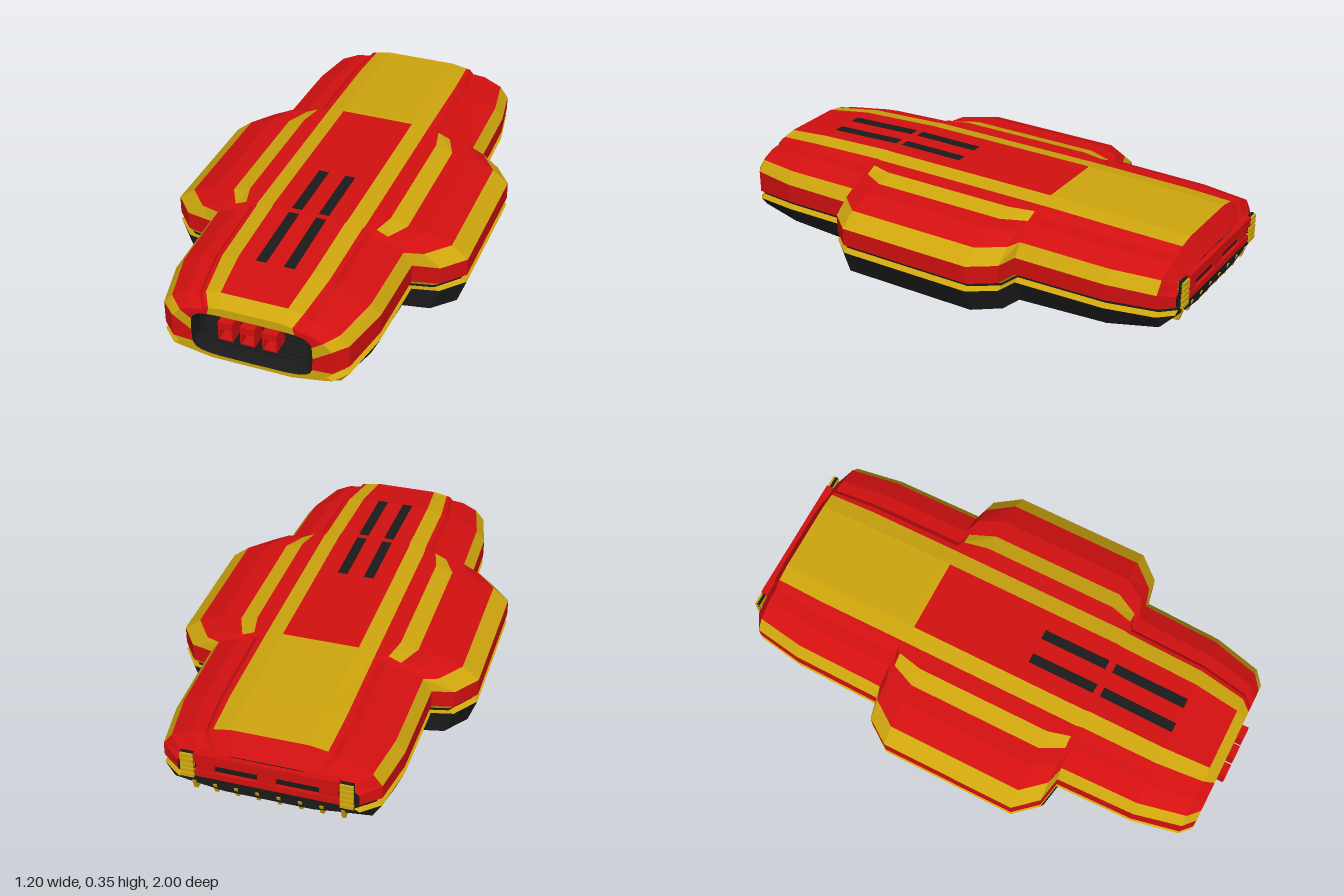
import * as THREE from 'three';

const RED = 0xd41010, YELLOW = 0xcfa60e, BLACK = 0x1b1b1b, WHITE = 0xffffff;
const COLORS = { R: RED, Y: YELLOW, K: BLACK };
const mats = new Map();
function mat(color) {
  if (!mats.has(color)) mats.set(color, new THREE.MeshStandardMaterial({ color, flatShading: true }));
  return mats.get(color);
}

// Half cross-section from the bottom centre, round the flank, to the top centre.
// w: half width, floor: underside, g: height of the side groove, top: roof height
function station(z, w, floor, g, top) {
  const rise = (f) => 0.165 + (top - 0.165) * f;
  const inner = Math.min(0.22, w * 0.52);
  const pts = [
    [0, floor], [w * 0.5, floor], [w - 0.035, floor + 0.02],
    [w, g], [w - 0.022, g + 0.012], [w - 0.022, g + 0.022], [w, g + 0.034],
    [w, rise(0.3)], [w - (w > 0.5 ? 0.065 : 0.035), rise(0.57)], [w * 0.73, rise(0.77)],
    [w * 0.6, rise(0.8)], [(w * 0.6 + inner) / 2, rise(0.91)], [inner, rise(0.93)],
    [inner * 0.69, top], [0, top],
  ];
  return { z, pts };
}

// Rounded grille opening with as many points as a station
function mouth(z) {
  const pts = [];
  for (let j = 0; j < 15; j++) {
    const a = Math.PI * (j / 14 - 0.5), s = Math.sin(a);
    pts.push([0.235 * Math.abs(Math.cos(a)) ** 0.4, 0.147 + 0.092 * Math.sign(s) * Math.abs(s) ** 0.4]);
  }
  return { z, pts };
}

// Each entry: station and band colours, bottom to top, of the stretch to the next one
const NOSE = 'KKKYKYRYRRRRYR', POD = 'KKKYKYRYRRYRYR', TAIL = 'KKKYKYRYRRRRYY';
const LIP = 'YYYYYYRYRRRRYY', REAR = 'KKKYKYRRRRRRRR', RECESS = 'KKKKKKKKKKKKKK';
const hull = [
  [mouth(0.9), RECESS],
  [mouth(0.972), LIP],
  [station(0.972, 0.31, 0.04, 0.068, 0.272), LIP],
  [station(0.93, 0.36, 0.022, 0.085, 0.312), NOSE],
  [station(0.74, 0.405, 0.014, 0.105, 0.336), NOSE],
  [station(0.42, 0.415, 0.004, 0.112, 0.35), NOSE],
  [station(0.4, 0.52, 0.003, 0.115, 0.35), POD],
  [station(0.31, 0.6, 0, 0.116, 0.35), POD],
  [station(-0.25, 0.6, 0, 0.116, 0.35), POD],
  [station(-0.35, 0.53, 0.003, 0.116, 0.35), TAIL],
  [station(-0.37, 0.445, 0.004, 0.116, 0.35), TAIL],
  [station(-0.74, 0.44, 0.02, 0.12, 0.344), TAIL],
  [station(-0.935, 0.41, 0.05, 0.128, 0.338), REAR],
  [station(-0.98, 0.34, 0.085, 0.115, 0.255), REAR],
];

// Loft all stations, mirrored, into one faceted mesh per colour
function buildHull() {
  const group = new THREE.Group();
  group.name = 'bodyShell';
  const faces = { R: [], Y: [], K: [] };
  for (let i = 0; i < hull.length - 1; i++) {
    const [s, bands] = hull[i], n = hull[i + 1][0];
    for (let j = 0; j < 14; j++) {
      const out = faces[bands[j]];
      const a = [...s.pts[j], s.z], b = [...s.pts[j + 1], s.z];
      const c = [...n.pts[j + 1], n.z], d = [...n.pts[j], n.z];
      for (const p of [a, d, c, a, c, b]) out.push(...p);
      for (const p of [a, c, d, a, b, c]) out.push(-p[0], p[1], p[2]);
    }
  }
  const names = { R: 'redPanels', Y: 'yellowStripes', K: 'blackLowerBody' };
  for (const key of Object.keys(faces)) {
    const geo = new THREE.BufferGeometry();
    geo.setAttribute('position', new THREE.Float32BufferAttribute(faces[key], 3));
    geo.computeVertexNormals();
    const mesh = new THREE.Mesh(geo, mat(COLORS[key]));
    mesh.name = names[key];
    group.add(mesh);
  }
  return group;
}

// Flat end plate closing a station
function endPlate(name, s, back) {
  const loop = [...s.pts, ...s.pts.slice(1, -1).reverse().map(([x, y]) => [-x, y])];
  const geo = new THREE.ShapeGeometry(new THREE.Shape(loop.map(([x, y]) => new THREE.Vector2(x, y))));
  if (back) geo.rotateY(Math.PI);
  const mesh = new THREE.Mesh(geo, mat(BLACK));
  mesh.position.z = s.z;
  mesh.name = name;
  return mesh;
}

export function createModel() {
  const model = new THREE.Group();
  model.name = 'lowWideCar';
  const box = (name, color, w, h, d, x, y, z) => {
    const mesh = new THREE.Mesh(new THREE.BoxGeometry(w, h, d), mat(color));
    mesh.position.set(x, y, z);
    mesh.name = name;
    model.add(mesh);
    return mesh;
  };

  model.add(buildHull());
  model.add(endPlate('grilleBack', hull[0][0], false));
  model.add(endPlate('rearPanel', hull[hull.length - 1][0], true));

  // Grille slats
  for (let i = 0; i < 7; i++) box('grilleSlat', BLACK, 0.4, 0.008, 0.03, 0, 0.085 + i * 0.021, 0.915);

  // Three lamp frames in the grille
  for (const x of [-0.085, 0, 0.085]) {
    box('lampFrameTop', RED, 0.056, 0.03, 0.08, x, 0.222, 0.96);
    box('lampFrameBottom', RED, 0.056, 0.006, 0.08, x, 0.163, 0.96);
    for (const s of [-1, 1]) box('lampFrameSide', RED, 0.005, 0.05, 0.08, x + s * 0.0255, 0.185, 0.96);
  }
  box('centreLamp', WHITE, 0.046, 0.03, 0.02, 0, 0.181, 0.93);

  // Bonnet and roof slots
  for (const s of [-1, 1]) {
    box('roofSlot', BLACK, 0.04, 0.006, 0.28, s * 0.055, 0.349, 0.26);
    box('bonnetSlot', BLACK, 0.04, 0.006, 0.31, s * 0.055, 0.3425, 0.585).rotation.x = 0.044;
  }

  // Rear bumper bars and the blocks between them
  box('rearUpperBar', RED, 0.54, 0.04, 0.03, 0, 0.232, -0.985);
  box('rearLowerBar', RED, 0.54, 0.025, 0.02, 0, 0.158, -0.985);
  for (const x of [-0.23, 0, 0.23]) box('rearBlock', RED, 0.07, 0.05, 0.015, x, 0.19, -0.982);

  // Louvred tail lamps
  for (const s of [-1, 1]) {
    box('tailLampBase', BLACK, 0.05, 0.11, 0.012, s * 0.298, 0.19, -0.984);
    for (let i = 0; i < 5; i++) box('tailLampLouvre', YELLOW, 0.05, 0.016, 0.025, s * 0.298, 0.146 + i * 0.022, -0.9875);
  }

  // Diffuser fins under the tail
  const finShape = new THREE.Shape();
  finShape.moveTo(0.9, 0.06).lineTo(0.97, 0.065).lineTo(0.985, 0.11).lineTo(0.94, 0.11);
  const fin = new THREE.ExtrudeGeometry(finShape, { depth: 0.014, bevelEnabled: false });
  fin.rotateY(Math.PI / 2);
  for (let i = 0; i < 8; i++) {
    const mesh = new THREE.Mesh(fin, mat(YELLOW));
    mesh.position.x = -0.287 + i * 0.08;
    mesh.name = 'diffuserFin';
    model.add(mesh);
  }
  return model;
}
